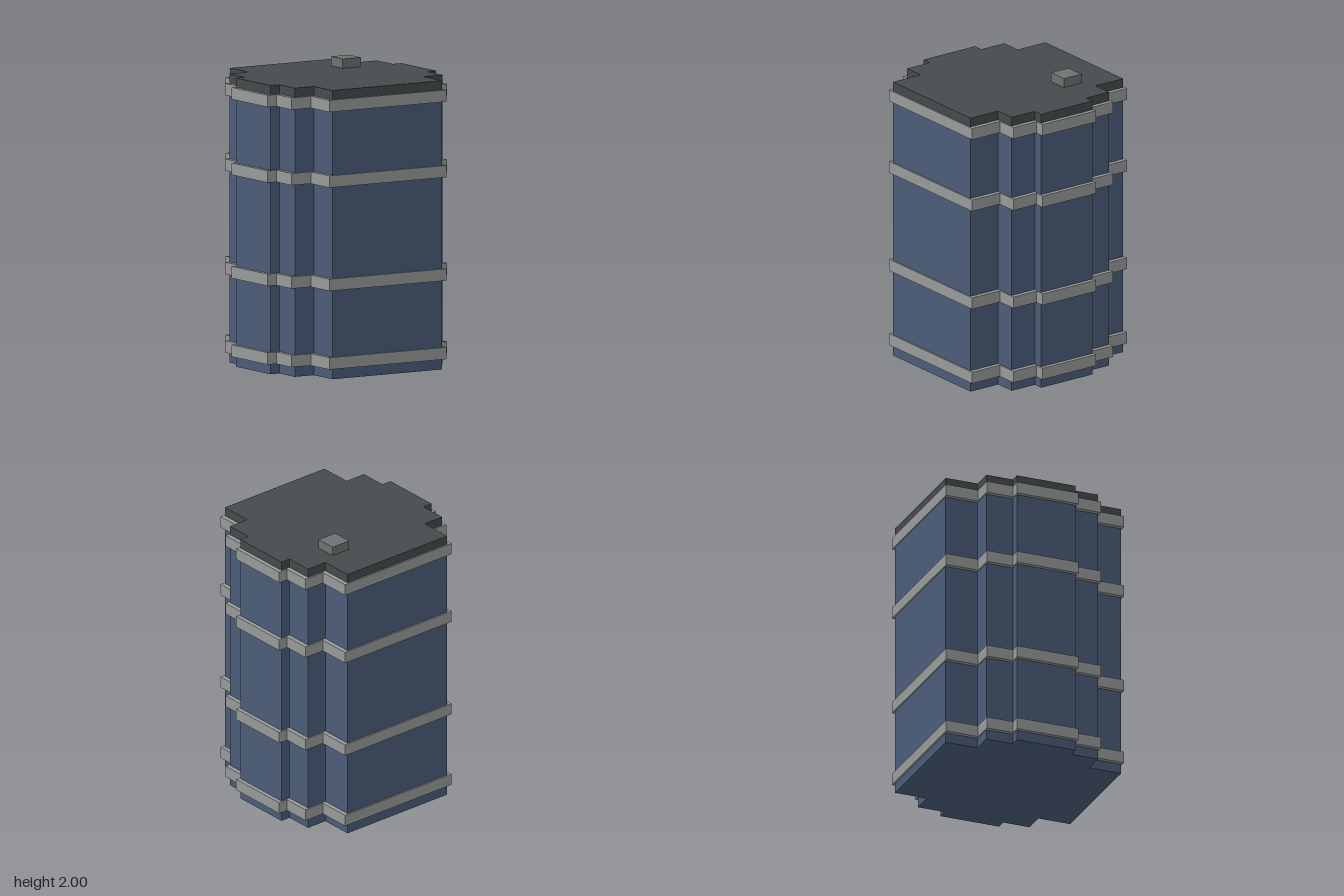
import * as THREE from 'three';

// Stepped outline: half-widths paired with half-depths, widest first
const BODY_STEPS = [[0.652, 0.212], [0.582, 0.403], [0.432, 0.632]];
const BAND_STEPS = [[0.68, 0.222], [0.612, 0.412], [0.462, 0.642]];

// Walk one quarter of the staircase, then mirror it around the centre
function outline(steps) {
  const quarter = [];
  steps.forEach(([x, z], i) => {
    if (i > 0) quarter.push([x, steps[i - 1][1]]);
    quarter.push([x, z]);
  });
  const back = [...quarter].reverse();
  return [
    ...quarter,
    ...back.map(([x, z]) => [-x, z]),
    ...quarter.map(([x, z]) => [-x, -z]),
    ...back.map(([x, z]) => [x, -z]),
  ].map(([x, z]) => new THREE.Vector2(x, z));
}

// Upright prism between two heights, optionally hollow
function prism(name, steps, y0, y1, material, holeSteps) {
  const shape = new THREE.Shape(outline(steps));
  if (holeSteps) shape.holes.push(new THREE.Path(outline(holeSteps).reverse()));
  const geometry = new THREE.ExtrudeGeometry(shape, { depth: y1 - y0, bevelEnabled: false });
  geometry.rotateX(-Math.PI / 2);
  const mesh = new THREE.Mesh(geometry, material);
  mesh.name = name;
  mesh.position.y = y0;
  return mesh;
}

export function createModel() {
  const paint = (color) => new THREE.MeshStandardMaterial({ color });
  const blue = paint(0x4b5d78);
  const steel = paint(0x989b9a);
  const dark = paint(0x454a4c);
  const capGrey = paint(0x6c7472);

  const model = new THREE.Group();
  model.name = 'barrel';

  // Barrel wall and lid
  model.add(prism('body', BODY_STEPS, 0, 1.875, blue));
  model.add(prism('lid', BODY_STEPS, 1.875, 1.937, dark));

  // Four hoops around the wall
  [0.068, 0.595, 1.288, 1.795].forEach((y, i) => {
    model.add(prism(`hoop${i + 1}`, BAND_STEPS, y, y + 0.08, steel, BODY_STEPS));
  });

  // Filler cap on the lid
  const cap = new THREE.Mesh(new THREE.BoxGeometry(0.143, 0.063, 0.145), capGrey);
  cap.name = 'fillerCap';
  cap.position.set(0.261, 1.9685, -0.287);
  model.add(cap);

  return model;
}
